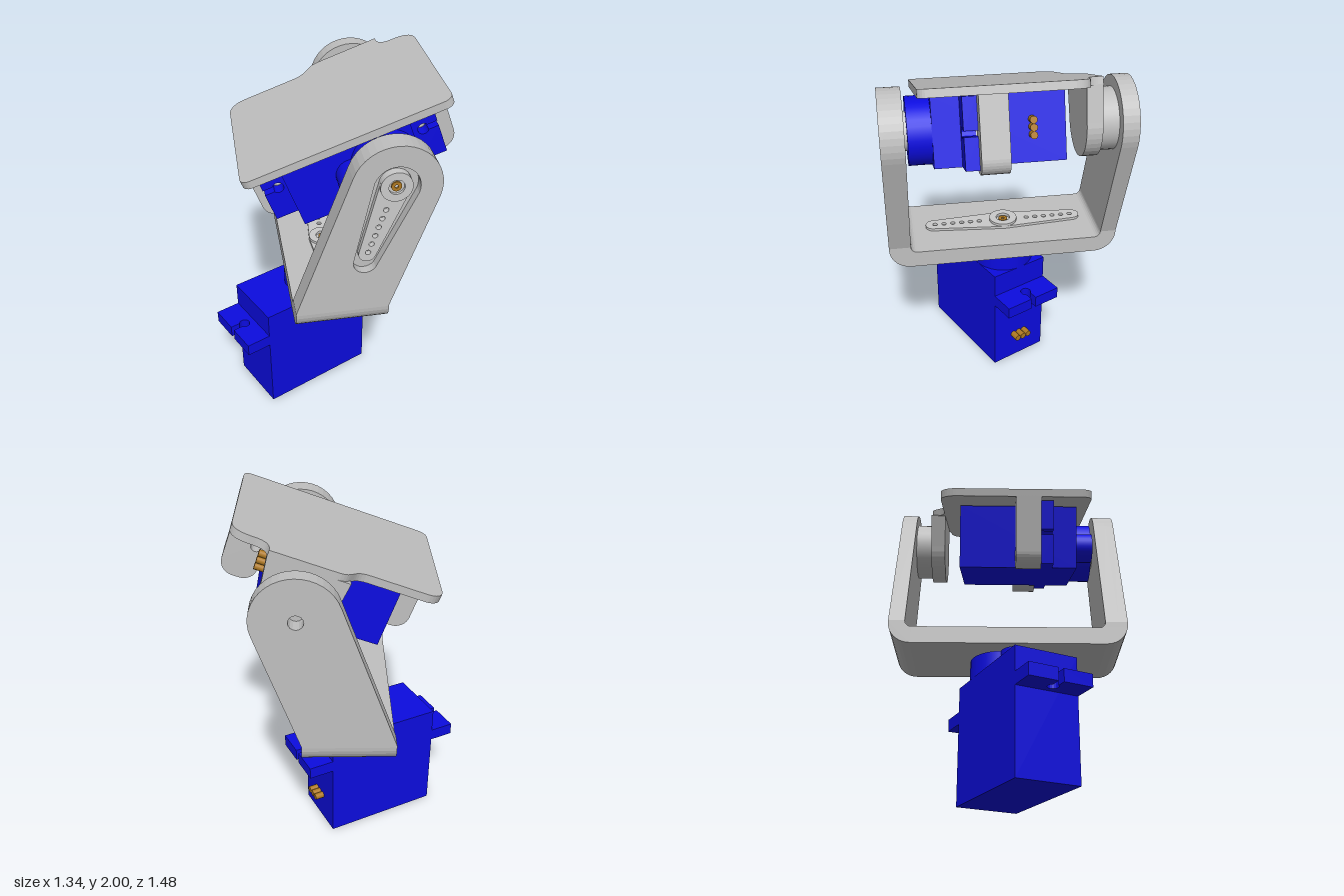
import * as THREE from 'three';

const mat = (name, color) => Object.assign(new THREE.MeshStandardMaterial({ color }), { name });
const V = (x, y) => new THREE.Vector2(x, y);
const RAD = Math.PI / 180;

export function createModel() {
  const blue = mat('servo blue', 0x0c0ce0);
  const grey = mat('bracket grey', 0xc0c0c0);
  const pale = mat('horn grey', 0xcacaca);
  const brass = mat('brass', 0xb07a22);

  const add = (parent, name, geo, m, x = 0, y = 0, z = 0) => {
    const mesh = new THREE.Mesh(geo, m);
    mesh.name = name;
    mesh.position.set(x, y, z);
    parent.add(mesh);
    return mesh;
  };
  const group = (parent, name) => {
    const g = new THREE.Group();
    g.name = name;
    if (parent) parent.add(g);
    return g;
  };
  const extrude = (shape, depth) =>
    new THREE.ExtrudeGeometry(shape, { depth, bevelEnabled: false, curveSegments: 12 });
  const cyl = (r, h) => new THREE.CylinderGeometry(r, r, h, 32);
  const arc = (cx, cy, r, a0, a1, n = 14) => Array.from({ length: n + 1 }, (_, i) => {
    const a = (a0 + (a1 - a0) * i / n) * RAD;
    return V(cx + r * Math.cos(a), cy + r * Math.sin(a));
  });
  const circleHole = (x, y, r) => new THREE.Path(arc(x, y, r, 0, 360, 16).slice(0, -1));
  // Tapered outline: round end r1 at the origin, round end r2 at (0, -len)
  const taper = (r1, r2, len) => [...arc(0, 0, r1, 0, 180, 18), ...arc(0, -len, r2, 180, 360, 12)];

  // Servo: output axis on x = z = 0, standing on y = 0
  function servo(parent, name) {
    const g = group(parent, name);
    add(g, 'servoBody', new THREE.BoxGeometry(0.675, 0.665, 0.355), blue, -0.1625, 0.3325);
    add(g, 'gearHousing', cyl(0.1765, 0.12), blue, 0, 0.725);
    add(g, 'smallGearHousing', cyl(0.085, 0.12), blue, -0.175, 0.725);
    add(g, 'outputShaft', cyl(0.1, 0.03), pale, 0, 0.795);
    // Mounting ears with keyhole slots
    for (const [s, inner, end] of [[1, 0.175, 0.32], [-1, -0.5, -0.64]]) {
      const slot = arc(0, 0, 0.03, 30, 330, 16).map(p => V(end - s * 0.08 + s * p.x, p.y));
      const ear = new THREE.Shape([
        V(inner, 0.1775), V(end, 0.1775), V(end, 0.015), ...slot,
        V(end, -0.015), V(end, -0.1775), V(inner, -0.1775)]);
      add(g, 'mountingEar', extrude(ear, 0.07).rotateX(-Math.PI / 2), blue, 0, 0.455);
    }
    // Three wire stubs
    for (let i = -1; i <= 1; i++)
      add(g, 'wire', new THREE.CylinderGeometry(0.019, 0.019, 0.055, 14).rotateZ(Math.PI / 2),
        brass, 0.2, 0.17, i * 0.038);
    return g;
  }

  // Servo horn facing +z, arm pointing to -y
  function horn(parent, name, arms) {
    const g = group(parent, name);
    for (let k = 0; k < arms; k++) {
      const shape = new THREE.Shape(taper(0.08, 0.045, 0.41));
      for (let i = 0; i < 6; i++) shape.holes.push(circleHole(0, -0.14 - i * 0.052, 0.014));
      add(g, 'hornArm', extrude(shape, 0.03), pale).rotation.z = k * Math.PI;
    }
    const ring = new THREE.Shape(arc(0, 0, 0.08, 0, 360, 32).slice(0, -1));
    ring.holes.push(circleHole(0, 0, 0.04));
    add(g, 'hornHub', extrude(ring, 0.045), pale);
    const screw = new THREE.Shape(arc(0, 0, 0.026, 0, 360, 20).slice(0, -1));
    screw.holes.push(circleHole(0, 0, 0.009));
    add(g, 'screw', extrude(screw, 0.038), brass);
    return g;
  }

  const model = group(null, 'panTiltHead');
  const AX = -0.04, AZ = -0.0875;
  servo(model, 'panServo').position.set(AX, 0, AZ);

  // Everything above turns with the pan axis
  const pan = group(model, 'panAssembly');
  pan.position.set(AX, 0, AZ);
  pan.rotation.y = -26 * RAD;
  const PX = 0.255, PY = 1.65, LEAN = -18.5;

  // Yoke base: U cross-section with rounded bends
  const Y0 = 0.8, YT = 0.93;
  const u = new THREE.Shape([
    ...arc(-0.614 + 0.12, Y0 + 0.12, 0.12, 180, 270, 8),
    ...arc(0.676 - 0.12, Y0 + 0.12, 0.12, 270, 360, 8),
    V(0.676, YT), V(0.555, YT),
    ...arc(0.555 - 0.035, 0.93, 0.035, 0, -90, 5),
    ...arc(-0.525 + 0.035, 0.93, 0.035, -90, -180, 5),
    V(-0.525, YT), V(-0.614, YT)]);
  add(pan, 'yokeBase', extrude(u, 0.49).rotateY(-Math.PI / 2), grey, 0.245);

  // Leaning yoke arms with round tops
  const armShape = () => new THREE.Shape([
    V(-0.245, YT - 0.03), V(0.245, YT - 0.03), ...arc(PX, PY, 0.225, LEAN, 180 + LEAN, 20)]);
  const trimmed = (shape, depth) => {
    const geo = extrude(shape, depth), p = geo.attributes.position;
    for (let i = 0; i < p.count; i++) if (p.getY(i) < YT) p.setY(i, YT);
    return geo;
  };
  const backArm = armShape();
  backArm.holes.push(circleHole(PX, PY, 0.038));
  add(pan, 'backYokeArm', trimmed(backArm, 0.089), grey, 0, 0, -0.614);
  add(pan, 'frontYokeArmInner', trimmed(armShape(), 0.071), grey, 0, 0, 0.555);
  const frontArm = armShape();
  frontArm.holes.push(new THREE.Path(taper(0.115, 0.062, 0.45)
    .map(p => p.rotateAround(V(0, 0), LEAN * RAD).add(V(PX, PY)))));
  add(pan, 'frontYokeArmOuter', trimmed(frontArm, 0.05), grey, 0, 0, 0.626);

  // Horns
  const tiltHorn = horn(pan, 'tiltHorn', 1);
  tiltHorn.position.set(PX, PY, 0.625);
  tiltHorn.rotation.z = LEAN * RAD;
  const panHorn = horn(pan, 'panHorn', 2);
  panHorn.position.set(0, 0.88, 0);
  panHorn.rotation.x = -Math.PI / 2;

  // Tilting part, origin on the tilt axis
  const tilt = group(pan, 'tiltAssembly');
  tilt.position.set(PX, PY, 0);
  tilt.rotation.z = 20 * RAD;
  const tiltServo = servo(tilt, 'tiltServo');
  tiltServo.rotation.x = Math.PI / 2;
  tiltServo.position.z = -0.245;

  // Top plate with rounded corners and a rear tab
  const plate = new THREE.Shape([
    ...arc(0.355, 0.44, 0.05, 0, 90, 6),
    ...arc(-0.64, 0.44, 0.05, 90, 180, 6),
    ...arc(-0.6, -0.26, 0.09, 180, 270, 8)]);
  plate.lineTo(-0.3, -0.35);
  plate.bezierCurveTo(-0.2, -0.35, -0.22, -0.433, -0.13, -0.433);
  plate.lineTo(0.21, -0.433);
  plate.quadraticCurveTo(0.2, -0.34, 0.29, -0.34);
  plate.quadraticCurveTo(0.4, -0.34, 0.405, -0.25);
  add(tilt, 'topPlate', extrude(plate, 0.042).rotateX(Math.PI / 2), grey, 0, 0.227);

  // Posts behind the servo ears, with screw holes
  for (const [a0, a1, hole] of [[0.195, 0.395, 0.24], [-0.69, -0.515, -0.56]]) {
    const r = 0.08;
    const post = new THREE.Shape([
      V(a1, 0.19), V(a0, 0.19),
      ...arc(a0 + r, -0.2 + r, r, 180, 270, 8), ...arc(a1 - r, -0.2 + r, r, 270, 360, 8)]);
    post.holes.push(circleHole(hole, 0, 0.028));
    add(tilt, 'mountingPost', extrude(post, 0.14), grey, 0, 0, 0.07);
  }

  // Rear wall and pivot boss
  const wall = new THREE.Shape([V(0.21, 0.19), V(-0.21, 0.19), ...arc(0, 0, 0.19, 180, 360, 20)]);
  add(tilt, 'rearWall', extrude(wall, 0.083), grey, 0, 0, -0.433);
  add(tilt, 'pivotBoss', cyl(0.165, 0.1).rotateX(Math.PI / 2), grey, 0, 0, -0.477);

  return model;
}
